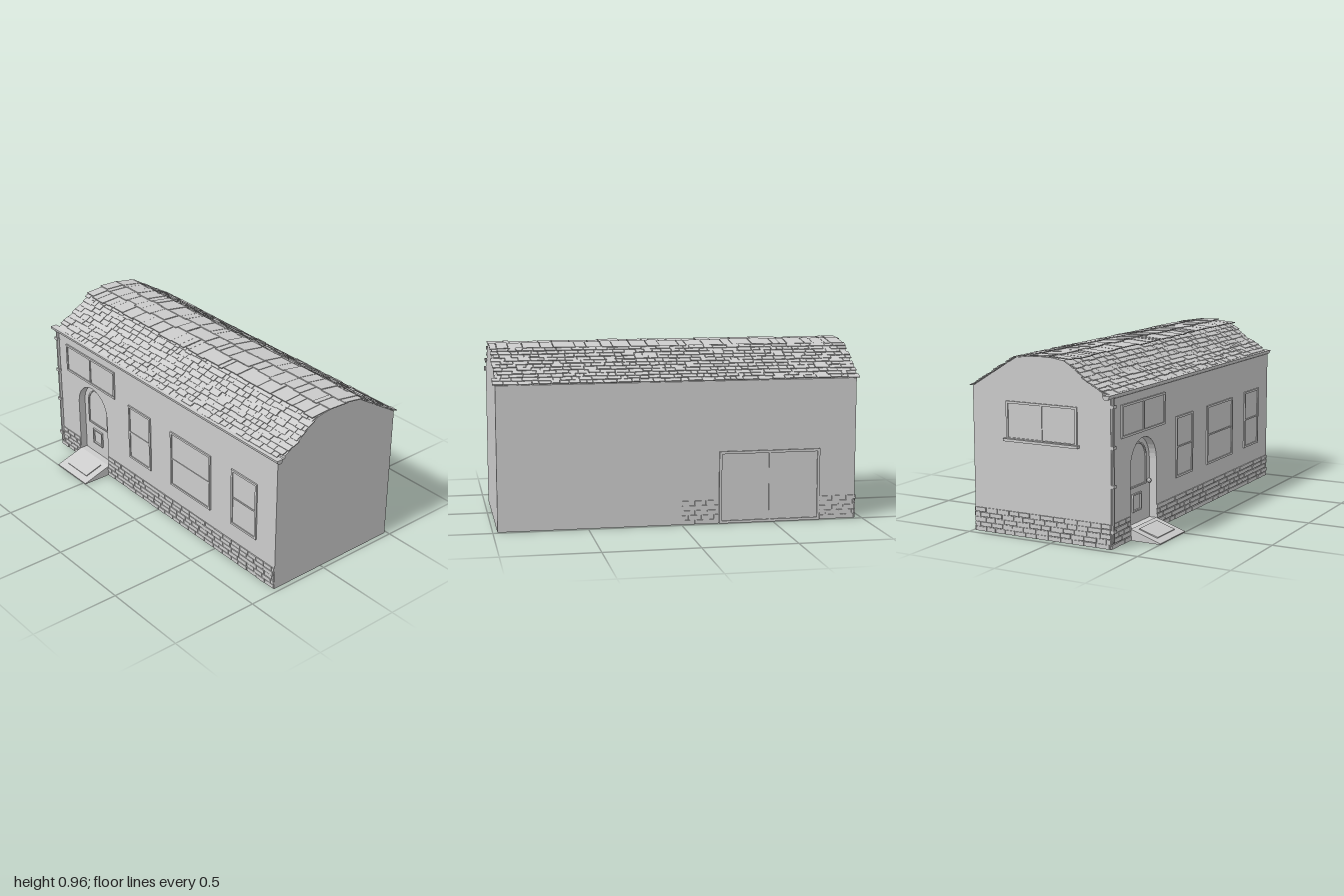
import * as THREE from 'three';
import { mergeGeometries } from 'three/addons/utils/BufferGeometryUtils.js';

const material = new THREE.MeshStandardMaterial({ color: 0xcccccc, flatShading: true });
const X0 = -0.96, X1 = 0.975, FRONT = 0.33, BACK = -0.485;

let seed = 7;
const rand = (a, b) => {
  seed = (seed * 16807) % 2147483647;
  return a + (b - a) * (seed / 2147483647);
};

function add(parent, name, geometry, x = 0, y = 0, z = 0) {
  const mesh = new THREE.Mesh(geometry, material);
  mesh.name = name;
  mesh.position.set(x, y, z);
  parent.add(mesh);
  return mesh;
}
const box = (w, h, d) => new THREE.BoxGeometry(w, h, d);
const shapeOf = pts => new THREE.Shape(pts.map(p => new THREE.Vector2(...p)));
const extrude = (shape, depth) =>
  new THREE.ExtrudeGeometry(shape, { depth, bevelEnabled: false, curveSegments: 12 });

// Extrudes a (z, y) profile along x, from xEnd down to xStart
const extrudeX = (pts, xStart, xEnd) =>
  extrude(shapeOf(pts), xEnd - xStart).rotateY(-Math.PI / 2).translate(xEnd, 0, 0);

// Round-headed outline standing on y0
function archPoints(x0, x1, y0, top) {
  const r = (x1 - x0) / 2, cx = (x0 + x1) / 2, pts = [[x0, y0], [x1, y0]];
  for (let i = 0; i <= 16; i++) {
    const a = (i / 16) * Math.PI;
    pts.push([cx + r * Math.cos(a), top - r + r * Math.sin(a)]);
  }
  return pts;
}

// Flat ring between an outer and an inner outline
function ring(outer, inner, depth) {
  const s = shapeOf(outer);
  s.holes.push(new THREE.Path(inner.map(p => new THREE.Vector2(...p))));
  return extrude(s, depth);
}
const rect = (w, h) => [[-w / 2, -h / 2], [w / 2, -h / 2], [w / 2, h / 2], [-w / 2, h / 2]];

// Framed opening facing +z, with evenly spaced upright and level bars
function framed(name, w, h, cols, rows, frame = 0.012, depth = 0.008) {
  const g = new THREE.Group();
  g.name = name;
  add(g, 'frame', ring(rect(w, h), rect(w - 2 * frame, h - 2 * frame), depth));
  add(g, 'pane', box(w - frame, h - frame, 0.004));
  for (let i = 1; i < cols; i++)
    add(g, 'uprightBar', box(0.01, h - frame, depth - 0.001), -w / 2 + (w * i) / cols, 0, depth / 2 - 0.001);
  for (let i = 1; i < rows; i++)
    add(g, 'levelBar', box(w - frame, 0.008, depth - 0.002), 0, -h / 2 + (h * i) / rows, depth / 2 - 0.001);
  return g;
}

// Staggered courses of thin bricks from x = 0 to length, facing +z
function brickBand(length) {
  const parts = [], courses = 5, ch = 0.026, gap = 0.004;
  for (let r = 0; r < courses; r++) {
    let x = 0, w = r % 2 ? 0.035 : 0.07;
    while (x < length - 0.005) {
      const end = Math.min(x + w, length), d = rand(0.008, 0.014);
      parts.push(box(end - x - gap, ch - gap, d).translate((x + end) / 2, (r + 0.5) * ch, 0));
      x = end;
      w = rand(0.055, 0.08);
    }
  }
  return mergeGeometries(parts);
}

// Rows of lapped shingles following a (z, y) line from the eave upwards
function shingles(line, rows, minW, maxW, lap) {
  const curve = new THREE.CurvePath();
  const pts = line.map(p => new THREE.Vector2(...p));
  for (let i = 1; i < pts.length; i++) curve.add(new THREE.LineCurve(pts[i - 1], pts[i]));
  const parts = [];
  for (let r = 0; r < rows; r++) {
    const a = curve.getPoint(r / rows), b = curve.getPoint((r + 1) / rows);
    const dz = b.x - a.x, dy = b.y - a.y, len = Math.hypot(dz, dy);
    const ny = Math.abs(dz) / len, nz = (-dy * Math.sign(dz)) / len;
    let x = X0 - rand(0, 0.018);
    while (x < X1 - 0.02) {
      const end = Math.min(x + rand(minW, maxW), X1 + rand(0, 0.018));
      const lift = rand(0.003, 0.007), drop = rand(0, lap);
      const tilt = Math.atan2(-(dy - ny * 0.004), dz - nz * 0.004);
      parts.push(box(end - x - 0.003, 0.005, len * 1.1 + drop).rotateX(tilt).translate(
        (x + end) / 2,
        (a.y + b.y) / 2 + ny * lift - (dy / len) * drop / 2,
        (a.x + b.x) / 2 + nz * lift - (dz / len) * drop / 2));
      x = end;
    }
  }
  return mergeGeometries(parts);
}

export function createModel() {
  const model = new THREE.Group();
  model.name = 'barnHouse';

  // Main body with the rounded gable, and a front wall with the door opening
  const recess = FRONT - 0.045;
  const frontSlope = [[0.315, 0.775], [0.2, 0.836], [0.13, 0.89], [0.07, 0.931]];
  const crown = [[0.09, 0.932], [0, 0.943], [-0.07, 0.945], [-0.15, 0.942], [-0.225, 0.931]];
  const backSlope = [[BACK, 0.77], [-0.22, 0.931]];
  add(model, 'body', extrudeX([[BACK, 0], [recess, 0], [recess, 0.785], [0.2, 0.834], [0.13, 0.888],
    [0.07, 0.929], [0, 0.941], [-0.07, 0.943], [-0.15, 0.94], [-0.22, 0.93], [BACK, 0.768]], X0, X1));
  const arch = archPoints(-0.76, -0.48, 0, 0.515).slice(2);
  add(model, 'frontWall', extrude(shapeOf([[X0, 0], [-0.76, 0], ...arch.reverse(), [-0.48, 0],
    [X1, 0], [X1, 0.77], [X0, 0.77]]), 0.045), 0, 0, recess);

  // Roof covering
  add(model, 'frontShingles', shingles(frontSlope, 9, 0.03, 0.085, 0.008));
  add(model, 'backShingles', shingles(backSlope, 11, 0.03, 0.085, 0.006));
  add(model, 'crownBoards', shingles(crown, 3, 0.03, 0.12, 0.02));

  // Gutter and downpipe with brackets
  const trough = [];
  for (let i = 0; i <= 8; i++) {
    const a = Math.PI + (i / 8) * Math.PI;
    trough.push([0.325 + 0.02 * Math.cos(a), 0.78 + 0.024 * Math.sin(a)]);
  }
  add(model, 'gutter', extrudeX(trough, -1, 0.985));
  add(model, 'downpipe', new THREE.CylinderGeometry(0.01, 0.01, 0.73, 10), -0.947, 0.4, 0.334);
  for (const y of [0.09, 0.32, 0.515, 0.72])
    add(model, 'pipeBracket', box(0.028, 0.016, 0.02), -0.947, y, 0.337);

  // Front door
  const door = new THREE.Group();
  door.name = 'frontDoor';
  door.position.z = recess;
  model.add(door);
  add(door, 'doorLeaf', extrude(shapeOf(archPoints(-0.757, -0.483, 0.04, 0.512)), 0.005));
  add(door, 'doorWindowFrame', ring(archPoints(-0.715, -0.525, 0.25, 0.485),
    archPoints(-0.707, -0.533, 0.258, 0.477), 0.012));
  const hatch = framed('doorHatch', 0.09, 0.095, 1, 1, 0.008, 0.012);
  hatch.position.set(-0.63, 0.17, 0.003);
  door.add(hatch);
  add(door, 'doorKnob', new THREE.SphereGeometry(0.012, 12, 8), -0.503, 0.26, 0.015);
  add(door, 'threshold', box(0.28, 0.058, 0.05), -0.62, 0.029, 0.022);

  // Sloping doorstep with its mat
  add(model, 'doorRamp', extrudeX([[FRONT, 0], [0.5, 0], [0.5, 0.005], [FRONT, 0.06]], -0.76, -0.48));
  const mat = add(model, 'doorMat', box(0.19, 0.006, 0.11), -0.62, 0.037, 0.408);
  mat.rotation.x = Math.atan2(0.055, 0.17);

  // Windows on the front: centre x, centre y, width, height, columns, rows
  for (const [x, y, w, h, c, r] of [
    [-0.625, 0.63, 0.47, 0.17, 2, 1],
    [-0.16, 0.395, 0.2, 0.335, 1, 2],
    [0.29, 0.395, 0.34, 0.335, 1, 2],
    [0.73, 0.4, 0.2, 0.335, 1, 2],
  ]) {
    const win = framed('frontWindow', w, h, c, r);
    win.position.set(x, y, FRONT);
    model.add(win);
  }

  // End window with sill
  const end = framed('endWindow', 0.42, 0.2, 2, 1);
  add(end, 'sill', box(0.44, 0.014, 0.03), 0, -0.1, 0.008);
  end.rotation.y = -Math.PI / 2;
  end.position.set(X0, 0.605, -0.07);
  model.add(end);

  // Double door at the back
  const backDoor = framed('backDoor', 0.555, 0.39, 2, 1, 0.014, 0.01);
  backDoor.rotation.y = Math.PI;
  backDoor.position.set(-0.4825, 0.195, BACK);
  model.add(backDoor);

  // Brick plinth: length, start x, start z, turn
  for (const [len, x, z, turn] of [
    [0.2, X0, FRONT, 0],
    [X1 + 0.48, -0.48, FRONT, 0],
    [FRONT - BACK, X0, BACK, -Math.PI / 2],
    [0.2, -0.76, BACK, Math.PI],
    [0.2, 0, BACK, Math.PI],
  ]) add(model, 'brickPlinth', brickBand(len), x, 0, z).rotation.y = turn;

  return model;
}
